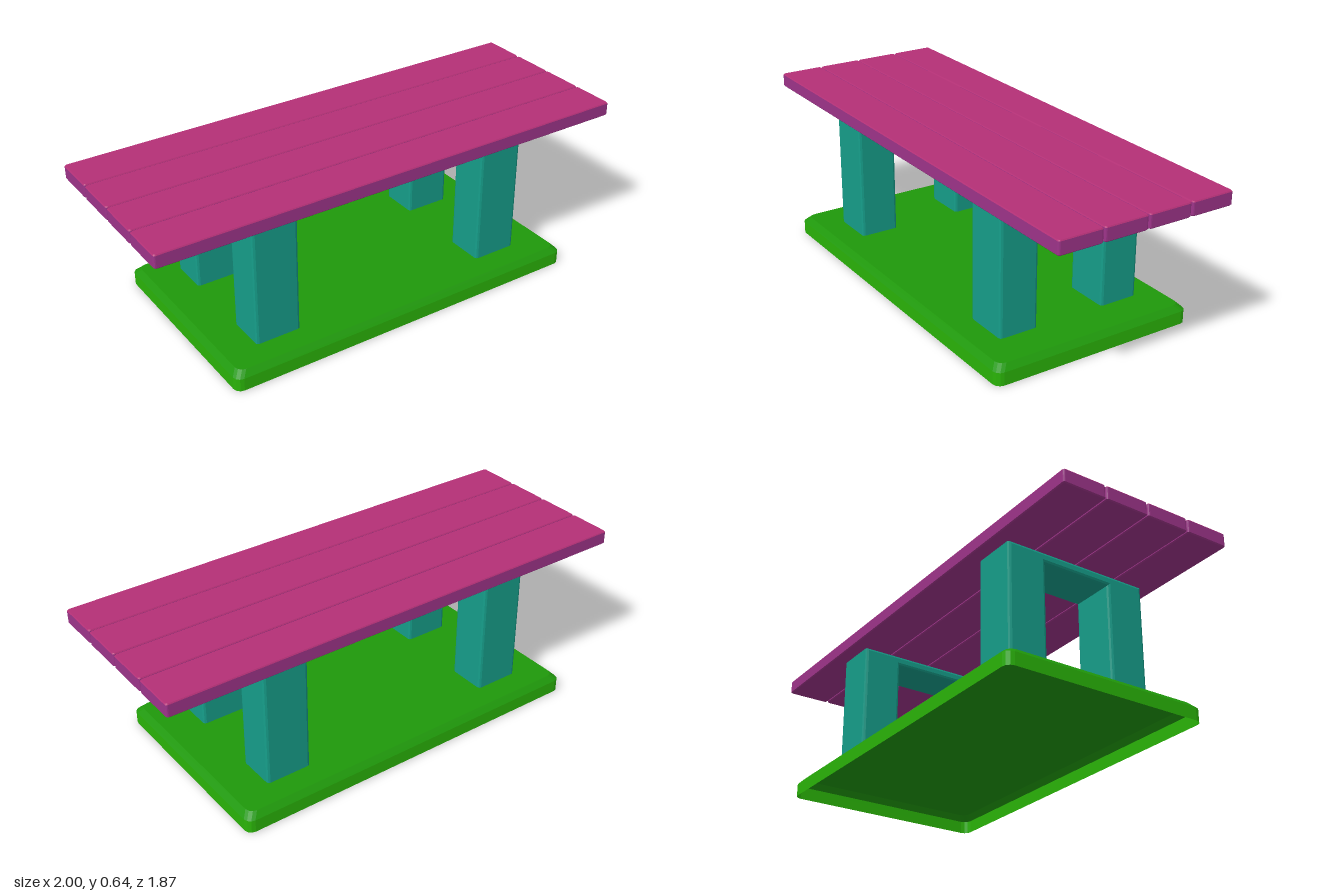
import * as THREE from 'three';

const mat = (name, color, side = THREE.FrontSide) =>
  Object.assign(new THREE.MeshStandardMaterial({ color, side }), { name });

// Rectangle with rounded corners, counterclockwise seen from above
function outline(hx, hz, r, steps = 3) {
  const pts = [];
  [[1, 1], [-1, 1], [-1, -1], [1, -1]].forEach(([sx, sz], q) => {
    for (let i = 0; i <= steps; i++) {
      const a = (q + i / steps) * Math.PI / 2;
      pts.push([sx * (hx - r) + r * Math.cos(a), -sz * (hz - r) - r * Math.sin(a)]);
    }
  });
  return pts;
}

// Slab lofted through [height, inset] rings; groups: 0 sides and underside, 1 top with its last bevel
function slab(length, width, radius, rings, closed) {
  const loops = rings.map(([y, inset]) =>
    outline(length / 2 - inset, width / 2 - inset, radius).map(([x, z]) => [x, y, z]));
  const n = loops[0].length, last = loops.length - 1, pos = [];
  const geo = new THREE.BufferGeometry();
  const tri = (...corners) => corners.forEach(c => pos.push(...c));
  const low = loops[0], high = loops[last];
  if (closed) for (let i = 0; i < n; i++) tri([0, rings[0][0], 0], low[(i + 1) % n], low[i]);
  for (let k = 0; k < last; k++) {
    for (let i = 0; i < n; i++) {
      const j = (i + 1) % n;
      const [a, b, c, d] = [loops[k][i], loops[k][j], loops[k + 1][j], loops[k + 1][i]];
      tri(a, b, c);
      tri(a, c, d);
    }
  }
  for (let i = 0; i < n; i++) tri([0, rings[last][0], 0], high[i], high[(i + 1) % n]);
  geo.setAttribute('position', new THREE.Float32BufferAttribute(pos, 3));
  geo.computeVertexNormals();
  const body = pos.length / 3 - n * 9;
  geo.addGroup(0, body, 0);
  geo.addGroup(body, n * 9, 1);
  return geo;
}

// Two posts joined by a thin beam, spanning the width of the bench
function supportGeometry() {
  const b = 0.011, half = 0.308 - b, inner = 0.146 + b, depth = 0.188, foot = 0.075;
  const shape = new THREE.Shape([
    [-half, foot], [-inner, foot], [-inner, 0.545 + b], [inner, 0.545 + b],
    [inner, foot], [half, foot], [half, 0.586 - b], [-half, 0.586 - b],
  ].map(([x, y]) => new THREE.Vector2(x, y)));
  const geo = new THREE.ExtrudeGeometry(shape, {
    depth: depth - 2 * b, bevelEnabled: true, bevelSize: b, bevelThickness: b, bevelSegments: 2,
  });
  // Keep the feet flat on top of the base
  const p = geo.attributes.position;
  for (let i = 0; i < p.count; i++) p.setY(i, Math.max(p.getY(i), foot));
  geo.translate(0, 0, b - depth / 2);
  geo.rotateY(Math.PI / 2);
  return geo;
}

export function createModel() {
  const green = mat('base side green', 0x2ab408, THREE.DoubleSide);
  const darkGreen = mat('base top green', 0x1f980a, THREE.DoubleSide);
  const teal = mat('support teal', 0x169e8a);
  const purple = mat('plank side purple', 0x9e348a);
  const pink = mat('plank top pink', 0xb43076);

  const bench = new THREE.Group();
  bench.name = 'bench';
  const add = (name, geo, material, x = 0, z = 0) => {
    const mesh = new THREE.Mesh(geo, material);
    mesh.name = name;
    mesh.position.set(x, 0, z);
    bench.add(mesh);
  };

  // Ground slab: a shell open underneath, with a bevelled top edge
  add('base', slab(1.53, 0.856, 0.03, [[0, 0], [0.052, 0], [0.074, 0.022]], false), [green, darkGreen]);

  // Pair of supports
  const support = supportGeometry();
  add('rightSupport', support, teal, -0.518);
  add('leftSupport', support, teal, 0.508);

  // Four seat planks with narrow gaps
  const plank = slab(2.02, 0.18, 0.008, [[0.584, 0.004], [0.588, 0], [0.636, 0], [0.64, 0.003]], true);
  for (let i = 0; i < 4; i++) add(`seatPlank${i + 1}`, plank, [purple, pink], 0, (i - 1.5) * 0.1845);

  // The bench stands diagonally
  bench.rotation.y = THREE.MathUtils.degToRad(40.8);
  const model = new THREE.Group();
  model.name = 'model';
  model.add(bench);
  return model;
}
